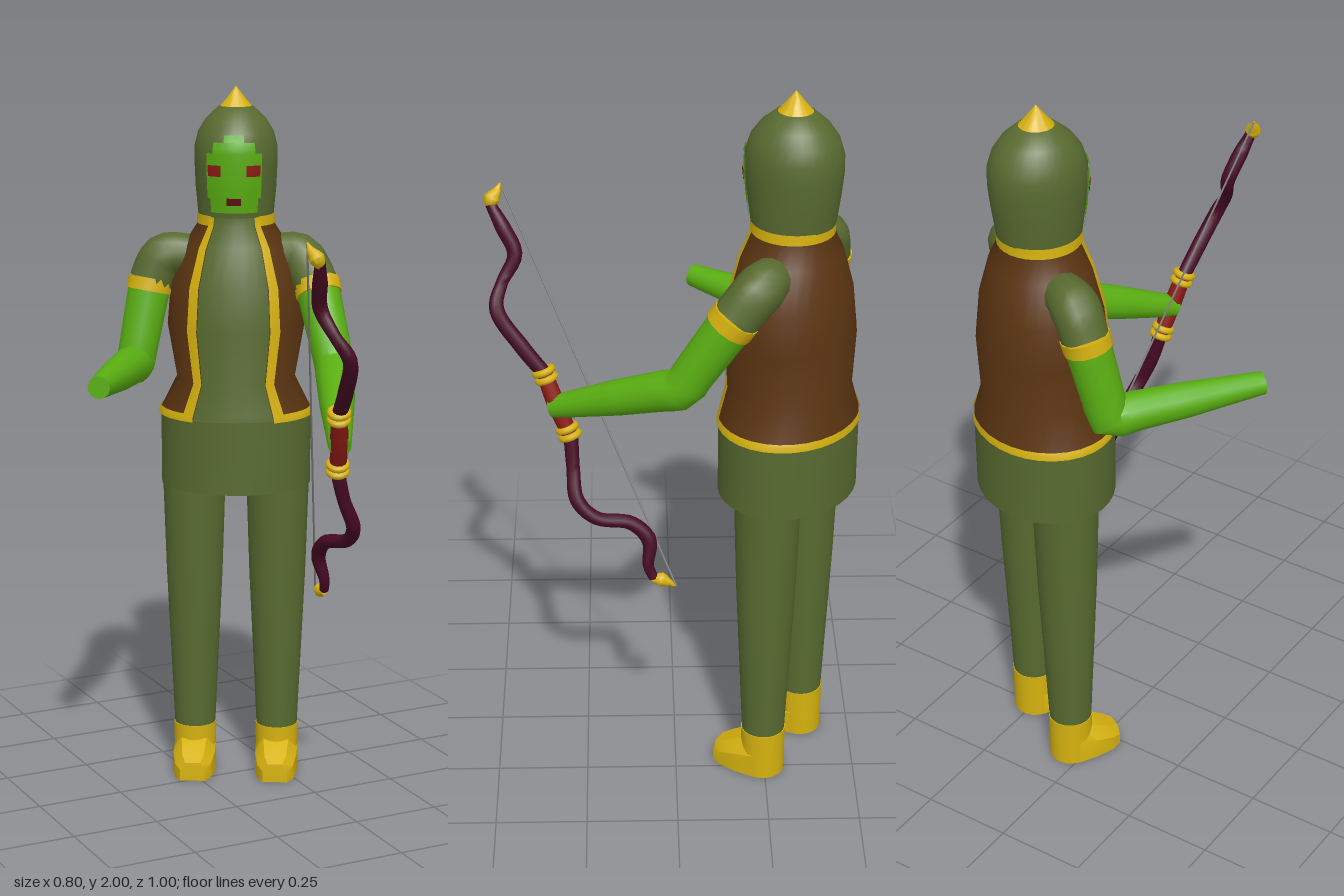
import * as THREE from 'three';
import { toCreasedNormals } from 'three/addons/utils/BufferGeometryUtils.js';

const mat = (name, color, side = THREE.FrontSide) => {
  const m = new THREE.MeshStandardMaterial({ color, side });
  m.name = name;
  return m;
};
const V = (p) => new THREE.Vector3(...p);

// Skin a list of rings (equal point counts, counter-clockwise, bottom to top)
function skin(rings, crease = 0.8) {
  const w = rings[0].length, pos = [], idx = [];
  rings.forEach((r) => r.forEach((p) => pos.push(p.x, p.y, p.z)));
  for (let i = 0; i < rings.length - 1; i++) {
    for (let j = 0; j < w - 1; j++) {
      const a = i * w + j, b = a + 1, c = a + w, d = c + 1;
      idx.push(a, b, d, a, d, c);
    }
  }
  const g = new THREE.BufferGeometry();
  g.setAttribute('position', new THREE.Float32BufferAttribute(pos, 3));
  g.setIndex(idx);
  return toCreasedNormals(g, crease);
}

// Elliptical shell: profile rows are [y, half width, half depth]; angle 0 faces +z
function shell(profile, a0 = -Math.PI, a1 = Math.PI, grow = 0, cx = 0) {
  const n = Math.max(3, Math.ceil((a1 - a0) * 5));
  return skin(profile.map(([y, a, b]) => Array.from({ length: n + 1 }, (_, j) => {
    const t = a0 + (a1 - a0) * j / n;
    return V([cx + (a ? a + grow : 0) * Math.sin(t), y, (b ? b + grow : 0) * Math.cos(t)]);
  })));
}

// Cut a profile between two heights
function cut(profile, y0, y1) {
  const at = (y) => {
    const i = Math.max(1, profile.findIndex((p) => p[0] >= y));
    const p = profile[i - 1], q = profile[i], t = (y - p[0]) / (q[0] - p[0]);
    return p.map((v, k) => v + (q[k] - v) * t);
  };
  return [at(y0), ...profile.filter((p) => p[0] > y0 && p[0] < y1), at(y1)];
}

// Capped tube through points [x, y, z, radius]
function limb(points, steps = 20, sides = 14) {
  const curve = new THREE.CatmullRomCurve3(points.map((p) => V(p)), false, 'centripetal');
  const { normals, binormals } = curve.computeFrenetFrames(steps, false);
  const rings = [];
  const ring = (i, cap) => {
    const u = curve.getUtoTmapping(i / steps), s = u * (points.length - 1);
    const k = Math.min(Math.floor(s), points.length - 2);
    const r = cap ? 0 : THREE.MathUtils.lerp(points[k][3], points[k + 1][3], s - k);
    const c = curve.getPoint(u);
    rings.push(Array.from({ length: sides + 1 }, (_, j) => {
      const t = j / sides * Math.PI * 2;
      return c.clone().addScaledVector(normals[i], r * Math.cos(t)).addScaledVector(binormals[i], r * Math.sin(t));
    }));
  };
  ring(0, true);
  for (let i = 0; i <= steps; i++) ring(i, false);
  ring(steps, true);
  return skin(rings);
}

export function createModel() {
  const olive = mat('olive cloth', 0x586a30);
  const brown = mat('brown leather', 0x5c3512, THREE.DoubleSide);
  const gold = mat('gold', 0xd6b20f, THREE.DoubleSide);
  const green = mat('green skin', 0x5aae12);
  const plum = mat('dark plum wood', 0x470a24);
  const red = mat('red grip', 0x8c1a14);
  const maroon = mat('maroon mouth', 0x5e0d14);
  const grey = mat('grey string', 0x808080);

  const model = new THREE.Group();
  model.name = 'archer';
  const body = new THREE.Group();
  body.name = 'body';
  body.position.set(0.147, 0, -0.303);
  body.rotation.y = -0.51;
  model.add(body);
  const add = (parent, name, geometry, material) => {
    const m = new THREE.Mesh(geometry, material);
    m.name = name;
    parent.add(m);
    return m;
  };

  // Head: hooded helmet with a spike, face set on its front
  const hood = [[1.64, 0, 0], [1.645, 0.106, 0.112], [1.72, 0.113, 0.123], [1.785, 0.116, 0.13],
    [1.835, 0.116, 0.13], [1.875, 0.106, 0.117], [1.91, 0.085, 0.092], [1.945, 0.048, 0.05], [1.95, 0, 0]];
  add(body, 'helmet', shell(hood), olive);
  add(body, 'helmetSpike', shell([[1.94, 0.049, 0.051], [1.965, 0.027, 0.028], [1.985, 0.012, 0.012], [2, 0, 0]]), gold);
  [[1.66, 1.7, 0.62], [1.7, 1.825, 0.7], [1.825, 1.855, 0.52], [1.855, 1.875, 0.25]].forEach(([y0, y1, h]) =>
    add(body, 'face', shell(cut(hood, y0, y1), -h, h, 0.003), green));
  for (const s of [-1, 1]) add(body, 'eye', shell(cut(hood, 1.762, 1.793), s * 0.47 - 0.17, s * 0.47 + 0.17, 0.006), red);
  add(body, 'mouth', shell(cut(hood, 1.682, 1.702), -0.17, 0.17, 0.006), maroon);

  // Torso: shirt under an open vest trimmed with gold
  const torso = [[1.075, 0.215, 0.182], [1.09, 0.213, 0.181], [1.18, 0.168, 0.165], [1.33, 0.194, 0.17],
    [1.45, 0.184, 0.157], [1.56, 0.145, 0.131], [1.62, 0.107, 0.108], [1.65, 0.105, 0.108]];
  const open = 0.55, strip = 0.72, back = Math.PI * 2;
  add(body, 'shirt', shell(torso, -Math.PI, Math.PI, -0.008), olive);
  add(body, 'vest', shell(cut(torso, 1.08, 1.625), open, back - open), brown);
  add(body, 'collar', shell(cut(torso, 1.62, 1.648), open, back - open, 0.003), gold);
  add(body, 'vestHem', shell(cut(torso, 1.075, 1.097), open, back - open, 0.004), gold);
  for (const s of [-1, 1]) {
    add(body, 'vestTrim', shell(cut(torso, 1.08, 1.645), Math.min(s * open, s * strip), Math.max(s * open, s * strip), 0.004), gold);
  }
  add(body, 'skirt', shell([[0.87, 0, 0], [0.87, 0.213, 0.181], [1.08, 0.214, 0.182], [1.08, 0, 0]]), olive);

  // Legs and boots
  for (const s of [-1, 1]) {
    const x = s * 0.12;
    const leg = [[0.13, 0.059], [0.26, 0.065], [0.43, 0.073], [0.6, 0.081], [0.88, 0.09]];
    add(body, 'leg', shell(leg.map(([y, r]) => [y, r, r]), -Math.PI, Math.PI, 0, x), olive);
    const ankle = add(body, 'bootAnkle', new THREE.CylinderGeometry(0.062, 0.06, 0.14, 20), [gold, gold, olive]);
    ankle.position.set(x, 0.07, 0);
    // Toe cross-sections: [forward, half width, height]
    const toe = [[0, 0.061, 0.115], [0.055, 0.061, 0.1], [0.11, 0.052, 0.07], [0.138, 0.036, 0.055]].map(([z, w, h]) =>
      [[1, 0.003], [1, 0.6], [0.6, 1], [-0.6, 1], [-1, 0.6], [-1, 0.003], [1, 0.003]].map(([u, v]) => V([x + u * w, v * h, z])));
    toe.push(toe[3].map(() => V([x, 0.028, 0.14])));
    add(body, 'bootToe', skin(toe, 0.5), gold);
  }

  // Arms: short sleeve, gold cuff, bare forearm
  const arm = (side, inner, shoulder, cuff, elbow, hand) => {
    const g = new THREE.Group();
    g.name = side + 'Arm';
    model.add(g);
    const mix = (a, b, t, r) => [...V(a).lerp(V(b), t).toArray(), r];
    add(g, 'sleeve', limb([[...inner, 0.055], [...shoulder, 0.066], [...cuff, 0.063]], 10), olive);
    add(g, 'cuff', limb([mix(cuff, elbow, -0.06, 0.066), mix(cuff, elbow, 0.1, 0.065)], 2), gold);
    add(g, 'forearm', limb([[...cuff, 0.061], mix(cuff, elbow, 0.8, 0.056), [...elbow, 0.056],
      mix(elbow, hand, 0.15, 0.054), mix(elbow, hand, 0.5, 0.048), [...hand, 0.031]], 26), green);
  };
  arm('left', [0.235, 1.53, -0.255], [0.3, 1.525, -0.215], [0.324, 1.445, -0.145], [0.31, 1.245, -0.015], [0.143, 1.105, 0.325]);
  arm('right', [0.04, 1.53, -0.36], [-0.03, 1.52, -0.4], [-0.07, 1.445, -0.412], [-0.125, 1.225, -0.395], [-0.383, 1.24, -0.06]);

  // Recurved bow
  const bow = new THREE.Group();
  bow.name = 'bow';
  model.add(bow);
  add(bow, 'upperLimb', limb([[0.127, 1.2, 0.35, 0.02], [0.115, 1.27, 0.405, 0.021], [0.09, 1.37, 0.47, 0.02],
    [0.055, 1.43, 0.455, 0.016], [0.03, 1.5, 0.42, 0.02], [0.012, 1.57, 0.45, 0.021], [-0.005, 1.63, 0.482, 0.014]], 32, 10), plum);
  add(bow, 'lowerLimb', limb([[0.16, 1.03, 0.28, 0.02], [0.185, 0.94, 0.275, 0.018], [0.22, 0.86, 0.265, 0.02],
    [0.23, 0.81, 0.215, 0.019], [0.212, 0.782, 0.12, 0.02], [0.217, 0.73, 0.072, 0.021], [0.235, 0.66, 0.075, 0.015], [0.242, 0.625, 0.06, 0.013]], 36, 10), plum);
  const top = V([0.127, 1.2, 0.348]), bottom = V([0.16, 1.03, 0.283]);
  add(bow, 'grip', limb([[...top.toArray(), 0.022], [0.145, 1.115, 0.318, 0.025], [...bottom.toArray(), 0.022]], 8, 12), red);
  const axis = top.clone().sub(bottom).normalize();
  for (const t of [-0.02, 0.1, 0.9, 1.02]) {
    const ring = add(bow, 'gripRing', new THREE.TorusGeometry(0.023, 0.01, 8, 18), gold);
    ring.position.lerpVectors(bottom, top, t);
    ring.quaternion.setFromUnitVectors(new THREE.Vector3(0, 0, 1), axis);
  }
  add(bow, 'upperTip', limb([[-0.002, 1.615, 0.48, 0.01], [-0.012, 1.64, 0.478, 0.023], [-0.022, 1.66, 0.464, 0.012], [-0.028, 1.68, 0.455, 0.002]], 8, 8), gold);
  add(bow, 'lowerTip', limb([[0.24, 0.622, 0.066, 0.01], [0.242, 0.62, 0.04, 0.021], [0.245, 0.612, 0.02, 0.012], [0.247, 0.602, 0.0, 0.002]], 8, 8), gold);
  add(bow, 'string', limb([[-0.028, 1.678, 0.455, 0.003], [0.247, 0.603, 0.0, 0.003]], 2, 6), grey);

  return model;
}
